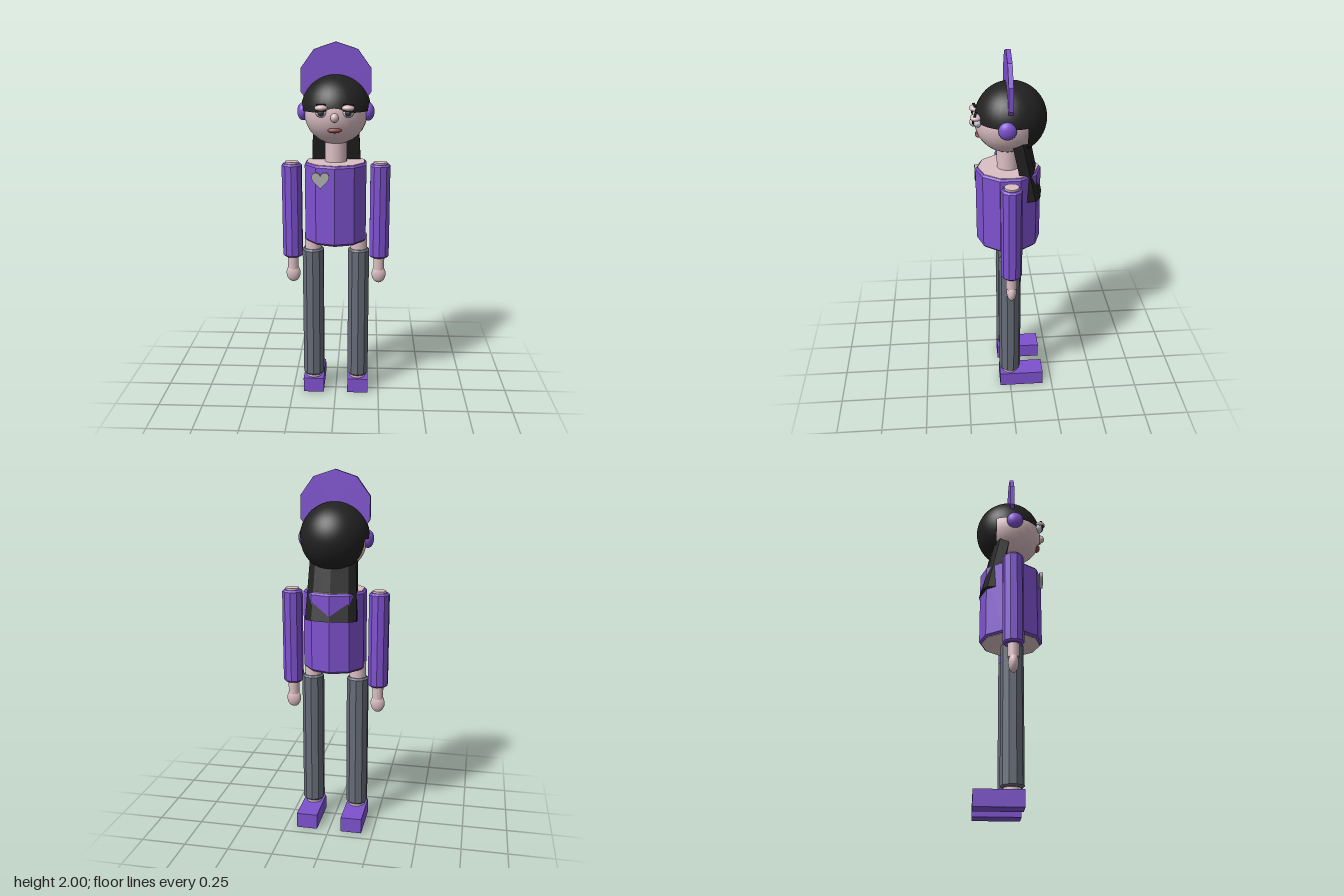
import * as THREE from 'three';

const mat = (name, color, extra = {}) => {
  const m = new THREE.MeshStandardMaterial({ color, ...extra });
  m.name = name;
  return m;
};

export function createModel() {
  const purple = mat('purple cloth', 0x7e52cf);
  const skin = mat('skin', 0xdcbfc4);
  const grey = mat('grey trousers', 0x666c78);
  const black = mat('black hair', 0x212121, { side: THREE.DoubleSide });
  const silver = mat('silver badge', 0xb2b0b4);
  const white = mat('eye white', 0xc8ccd6);
  const dark = mat('dark iris', 0x34343c);
  const red = mat('lips', 0x8c4a4a);

  const model = new THREE.Group();
  const add = (name, geo, material, x = 0, y = 0, z = 0) => {
    const mesh = new THREE.Mesh(geo, material);
    mesh.name = name;
    mesh.position.set(x, y, z);
    model.add(mesh);
    return mesh;
  };
  const flat = (geo) => {
    const g = geo.toNonIndexed();
    g.computeVertexNormals();
    return g;
  };
  // Ten-sided upright prism with small chamfers, from y0 to y1
  const prism = (r, y0, y1, b = 0.01) => flat(new THREE.LatheGeometry(
    [[0, y0], [r - b, y0], [r, y0 + b], [r, y1 - b], [r - b, y1], [0, y1]]
      .map(([a, c]) => new THREE.Vector2(a, c)), 10));
  const ball = (rx, ry, rz) => new THREE.SphereGeometry(1, 24, 16).scale(rx, ry, rz);
  const tube = (rt, rb, y0, y1) =>
    new THREE.CylinderGeometry(rt, rb, y1 - y0, 20).translate(0, (y0 + y1) / 2, 0);

  // Torso with bare neckline and underside
  add('torso', prism(0.175, 0.932, 1.368), purple);
  add('neckline', flat(new THREE.CylinderGeometry(0.163, 0.163, 0.006, 10)), skin, 0, 1.368);
  add('torsoUnderside', flat(new THREE.CylinderGeometry(0.163, 0.163, 0.006, 10)), skin, 0, 0.932);
  add('neck', tube(0.06, 0.06, 1.36, 1.52), skin);

  // Heart badge on the chest
  const heart = new THREE.Shape();
  heart.moveTo(0, -0.045);
  heart.bezierCurveTo(-0.012, -0.025, -0.046, -0.008, -0.046, 0.018);
  heart.bezierCurveTo(-0.046, 0.05, -0.008, 0.05, 0, 0.024);
  heart.bezierCurveTo(0.008, 0.05, 0.046, 0.05, 0.046, 0.018);
  heart.bezierCurveTo(0.046, -0.008, 0.012, -0.025, 0, -0.045);
  add('heartBadge', new THREE.ExtrudeGeometry(heart, { depth: 0.02, bevelEnabled: false }),
    silver, -0.075, 1.295, 0.157);

  // Head
  add('head', ball(0.17, 0.17, 0.172), skin, 0, 1.635, 0.004);
  add('nose', ball(0.021, 0.024, 0.024), skin, 0, 1.625, 0.176);
  add('lips', ball(0.037, 0.014, 0.018), red, 0, 1.558, 0.155);

  // Hair: crown, back of the head and the long fall
  add('hairCrown', new THREE.SphereGeometry(0.187, 32, 12, 0, Math.PI * 2, 0, Math.PI / 2),
    black, 0, 1.648, -0.014);
  add('hairBack', new THREE.SphereGeometry(0.187, 32, 12, 0, Math.PI * 2, 0, 1.16)
    .rotateX(-Math.PI / 2), black, 0, 1.648, -0.014);
  const section = new THREE.Shape([[-0.14, 0], [0.14, 0], [0.14, 0.055], [0.1, 0.083],
    [0, 0.1], [-0.1, 0.083], [-0.14, 0.055]].map(([x, z]) => new THREE.Vector2(x, z)));
  const fall = new THREE.ExtrudeGeometry(section, { depth: 0.36, bevelEnabled: false });
  fall.rotateX(-Math.PI / 2);
  const p = fall.attributes.position;
  for (let i = 0; i < p.count; i++) { // lean backwards and narrow slightly to the top
    const t = p.getY(i) / 0.36;
    p.setX(i, p.getX(i) * (1 - 0.12 * t));
    p.setZ(i, p.getZ(i) - 0.077 * (1 - t) - 0.004);
  }
  fall.computeVertexNormals();
  add('hairFall', fall, black, 0, 1.22, 0);

  // Upright ten-sided visor
  add('visor', flat(new THREE.CylinderGeometry(0.197, 0.197, 0.024, 10).rotateX(-Math.PI / 2)),
    purple, 0, 1.803, -0.001);

  for (const s of [-1, 1]) {
    const side = s > 0 ? 'left' : 'right';
    // Ear cover
    add(side + 'EarCover', ball(0.032, 0.048, 0.047), purple, s * 0.174, 1.64, 0.015);

    // Eye with lid, iris and brow
    add(side + 'Eye', ball(0.029, 0.025, 0.025), white, s * 0.07, 1.65, 0.158);
    add(side + 'Iris', ball(0.018, 0.017, 0.012), dark, s * 0.07, 1.65, 0.175);
    add(side + 'Eyelid', ball(0.033, 0.017, 0.03), skin, s * 0.07, 1.675, 0.168);
    const brow = add(side + 'Brow', new THREE.BoxGeometry(0.05, 0.008, 0.012), black,
      s * 0.07, 1.69, 0.17);
    brow.rotation.y = -s * 0.15;
    const lash = add(side + 'Lash', new THREE.BoxGeometry(0.058, 0.008, 0.01), black,
      s * 0.07, 1.661, 0.183);
    lash.rotation.z = -s * 0.12;

    // Arm
    add(side + 'Sleeve', prism(0.057, 0.825, 1.355), purple, s * 0.2425);
    add(side + 'Arm', tube(0.038, 0.03, 0.75, 1.365), skin, s * 0.2425);
    add(side + 'Hand', ball(0.04, 0.052, 0.027), skin, s * 0.2425, 0.722);

    // Leg and shoe, the shoe reaching backwards
    add(side + 'Leg', tube(0.046, 0.046, 0.08, 0.96), skin, s * 0.128);
    add(side + 'Trouser', prism(0.062, 0.102, 0.875), grey, s * 0.128);
    add(side + 'Shoe', new THREE.BoxGeometry(0.118, 0.086, 0.255), purple,
      s * 0.128, 0.043, -0.067);
  }
  return model;
}
